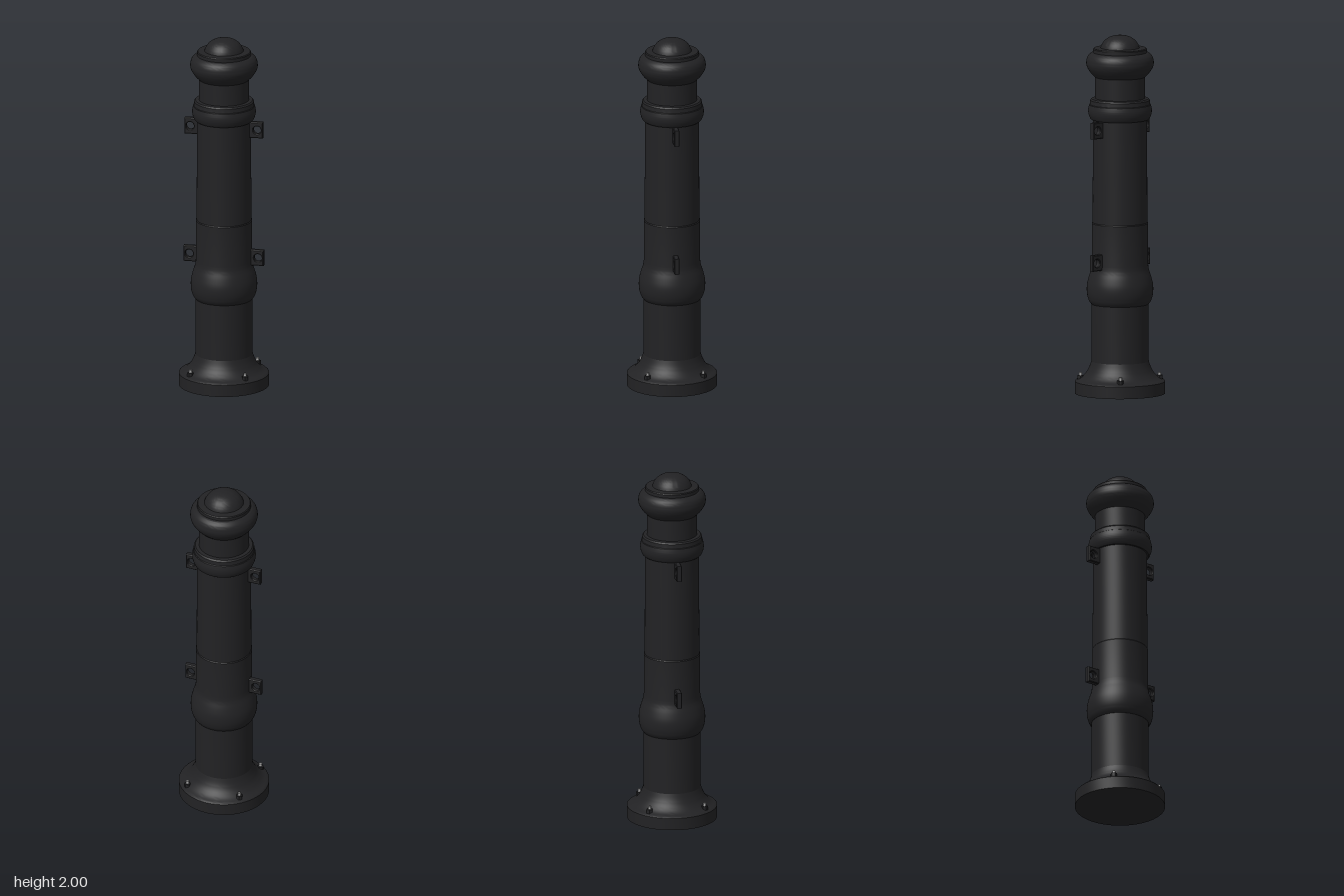
import * as THREE from 'three';
import { toCreasedNormals } from 'three/addons/utils/BufferGeometryUtils.js';

const iron = new THREE.MeshStandardMaterial({ color: 0x222224 });
const steel = new THREE.MeshStandardMaterial({ color: 0xaaaaaa });

// Smooth run of profile points [radius, y]
function curve(points, n = 16) {
  return new THREE.SplineCurve(points.map(p => new THREE.Vector2(...p))).getPoints(n);
}

function turned(name, ...runs) {
  const points = runs.flat().map(p => (p.isVector2 ? p : new THREE.Vector2(...p)));
  const geometry = toCreasedNormals(new THREE.LatheGeometry(points, 64), 0.5);
  const mesh = new THREE.Mesh(geometry, iron);
  mesh.name = name;
  return mesh;
}

// Chain lug: a square plate with a round eye
function lug(name, x0, x1, y0, y1, holeX) {
  const shape = new THREE.Shape();
  shape.moveTo(x0, y0).lineTo(x1, y0).lineTo(x1, y1).lineTo(x0, y1).closePath();
  const eye = new THREE.Path();
  eye.absarc(holeX, (y0 + y1) / 2, 0.022, 0, Math.PI * 2, true);
  shape.holes.push(eye);
  const geometry = new THREE.ExtrudeGeometry(shape, {
    depth: 0.022, bevelEnabled: true, bevelSize: 0.004, bevelThickness: 0.004,
    bevelOffset: -0.004, bevelSegments: 1, curveSegments: 24,
  });
  geometry.translate(0, 0, -0.011);
  const mesh = new THREE.Mesh(geometry, iron);
  mesh.name = name;
  return mesh;
}

export function createModel() {
  const post = new THREE.Group();
  post.name = 'bollard';

  // Flared foot
  post.add(turned('base',
    [[0, 0], [0.25, 0], [0.25, 0.068]],
    curve([[0.244, 0.074], [0.215, 0.088], [0.188, 0.115], [0.17, 0.148], [0.159, 0.18]])));

  // Lower column with its bulge, then the tapering shaft
  post.add(turned('column',
    [[0.159, 0.17], [0.159, 0.5]],
    curve([[0.16, 0.5], [0.174, 0.522], [0.183, 0.56], [0.183, 0.605], [0.173, 0.65], [0.16, 0.69], [0.156, 0.72]], 24),
    [[0.156, 0.95], [0.152, 0.955], [0.15, 1.36], [0.149, 1.54]]));

  // Rounded collar
  post.add(turned('collar',
    [[0.14, 1.53], [0.158, 1.53]],
    curve([[0.165, 1.536], [0.174, 1.56], [0.176, 1.585], [0.171, 1.612]]),
    [[0.167, 1.615], [0.165, 1.638], [0.158, 1.646], [0.13, 1.65]]));

  post.add(turned('neck', [[0.139, 1.63], [0.139, 1.78]]));

  // Cap ring, ledge and dome
  post.add(turned('cap',
    [[0.13, 1.765], [0.139, 1.767]],
    curve([[0.142, 1.77], [0.162, 1.79], [0.182, 1.822], [0.187, 1.85], [0.18, 1.88], [0.162, 1.899], [0.149, 1.904]], 24),
    [[0.149, 1.922], [0.145, 1.927], [0.109, 1.93]]));
  post.add(turned('dome',
    curve([[0.109, 1.928], [0.1, 1.95], [0.082, 1.973], [0.055, 1.99], [0.025, 1.998], [0, 2]], 20)));

  // Paired lugs on the left and right
  for (const side of [1, -1]) {
    const pair = new THREE.Group();
    pair.name = side > 0 ? 'leftLugs' : 'rightLugs';
    pair.add(lug('upperLug', 0.13, 0.222, 1.438, 1.53, 0.19));
    pair.add(lug('lowerLug', 0.13, 0.227, 0.7, 0.79, 0.195));
    if (side < 0) pair.rotation.y = Math.PI;
    post.add(pair);
  }

  // Anchor bolts with hexagonal nuts around the foot
  for (let i = 0; i < 4; i++) {
    const anchor = new THREE.Group();
    anchor.name = 'anchorBolt';
    const nut = new THREE.Mesh(toCreasedNormals(new THREE.CylinderGeometry(0.018, 0.018, 0.03, 6), 0.5), iron);
    nut.name = 'nut';
    nut.position.y = 0.085;
    const rod = new THREE.Mesh(new THREE.CylinderGeometry(0.008, 0.008, 0.05, 16), steel);
    rod.name = 'rod';
    rod.position.y = 0.091;
    anchor.add(nut, rod);
    const angle = Math.PI / 4 + i * Math.PI / 2;
    anchor.position.set(0.219 * Math.cos(angle), 0, 0.219 * Math.sin(angle));
    anchor.rotation.y = -angle;
    post.add(anchor);
  }
  return post;
}
